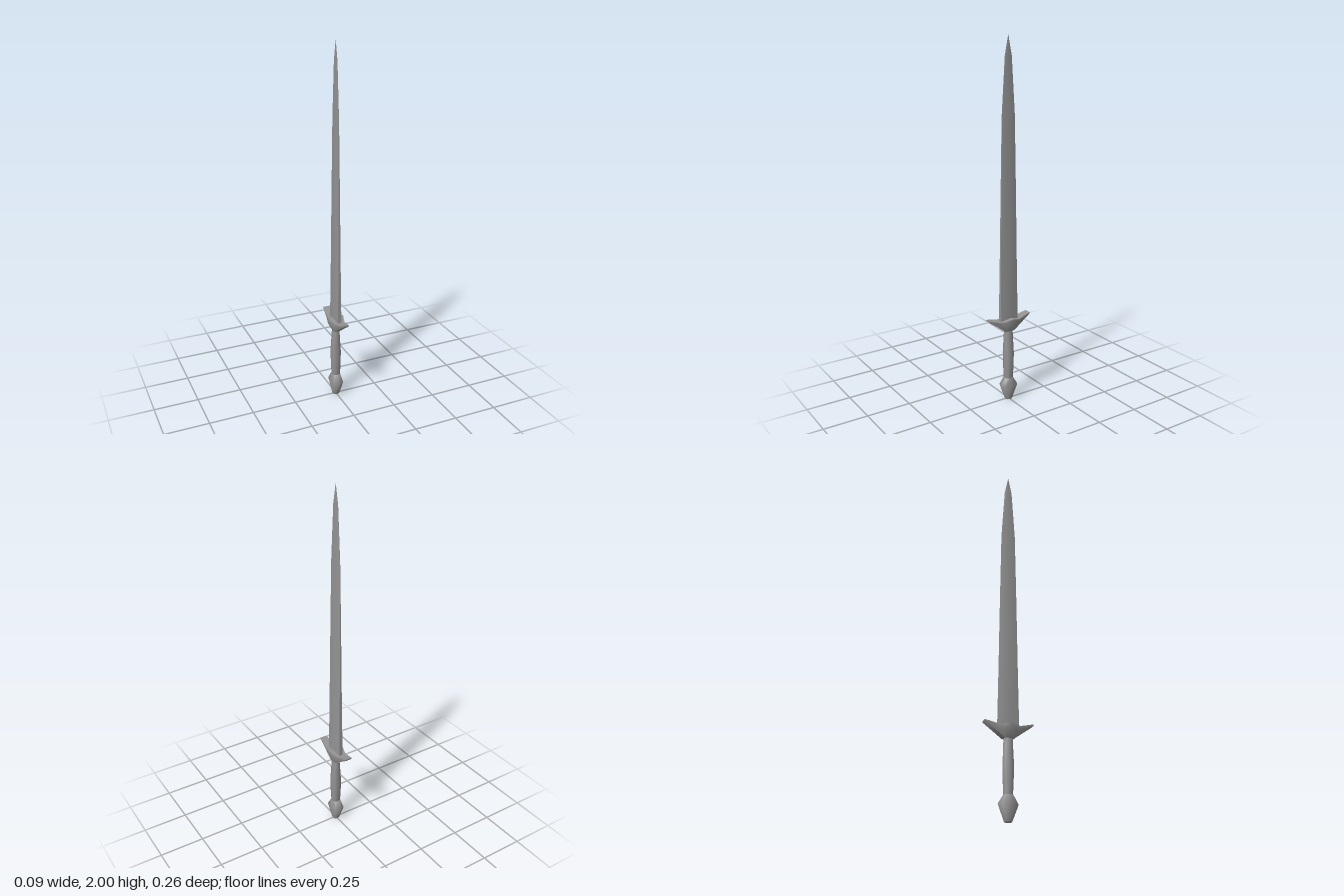
import * as THREE from 'three';
import { toCreasedNormals } from 'three/addons/utils/BufferGeometryUtils.js';

// Skin a list of equal-length rings (counter-clockwise seen from the far end) and cap both ends.
function loft(name, rings, crease) {
  const n = rings[0].length;
  const index = [];
  for (let r = 0; r < rings.length - 1; r++) {
    for (let i = 0; i < n; i++) {
      const j = (i + 1) % n;
      const a = r * n + i, b = r * n + j, c = a + n, d = b + n;
      index.push(a, b, d, a, d, c);
    }
  }
  const last = (rings.length - 1) * n;
  for (let i = 1; i < n - 1; i++) {
    index.push(0, i + 1, i, last, last + i, last + i + 1);
  }
  const geometry = new THREE.BufferGeometry();
  geometry.setAttribute('position', new THREE.Float32BufferAttribute(rings.flat(2), 3));
  geometry.setIndex(index);
  const mesh = new THREE.Mesh(
    toCreasedNormals(geometry, crease),
    new THREE.MeshStandardMaterial({ color: 0x949494 })
  );
  mesh.name = name;
  return mesh;
}

// Horizontal eight-sided ring, slightly squared at its diagonals.
const oval = ([y, rx, rz]) => Array.from({ length: 8 }, (_, i) => {
  const a = (i * Math.PI) / 4;
  const r = i % 2 ? 1.07 : 1;
  return [rx * r * Math.cos(a), y, -rz * r * Math.sin(a)];
});

// Blade ring: a central ridge on each side and a narrow flat along each edge.
const bladeRing = ([y, ridge, edge, w]) => [
  [ridge, y, 0], [edge, y, -w], [-edge, y, -w],
  [-ridge, y, 0], [-edge, y, w], [edge, y, w],
];

// Guard ring across z: upright sides that narrow to a flat keel.
const guardRing = ([z, w, keel, top, mid, bottom]) => [
  [-keel, bottom, z], [keel, bottom, z], [w, mid, z],
  [w, top, z], [-w, top, z], [-w, mid, z],
];

export function createModel() {
  const sword = new THREE.Group();
  sword.name = 'sword';

  // y, ridge half thickness, edge half thickness, half width
  const blade = [
    [0.46, 0.02, 0.01, 0.056],
    [0.8, 0.016, 0.007, 0.051],
    [1.2, 0.012, 0.004, 0.046],
    [1.6, 0.008, 0.001, 0.04],
    [1.9, 0.003, 0.0005, 0.021],
    [2.0, 0.0006, 0.0003, 0.0006],
  ];
  sword.add(loft('blade', blade.map(bladeRing), 0.6));

  // z, half width, keel half width, top, middle and bottom heights
  const half = [
    [0.03, 0.037, 0.02, 0.482, 0.456, 0.415],
    [0.055, 0.03, 0.02, 0.477, 0.461, 0.435],
    [0.131, 0.02, 0.018, 0.497, 0.494, 0.489],
  ];
  const guard = [
    ...half.map(([z, ...rest]) => [-z, ...rest]).reverse(),
    [0, 0.046, 0.021, 0.49, 0.458, 0.413],
    ...half,
  ];
  sword.add(loft('guard', guard.map(guardRing), 1.0));

  // Grip: y, half size in x, half size in z
  const grip = [
    [0.12, 0.024, 0.024],
    [0.2, 0.028, 0.028],
    [0.28, 0.029, 0.03],
    [0.36, 0.023, 0.027],
    [0.425, 0.018, 0.025],
  ];
  sword.add(loft('grip', grip.map(oval), 1.0));

  // Pommel
  const pommel = [
    [0, 0.02, 0.02],
    [0.085, 0.038, 0.054],
    [0.13, 0.026, 0.026],
  ];
  sword.add(loft('pommel', pommel.map(oval), 1.2));

  return sword;
}
